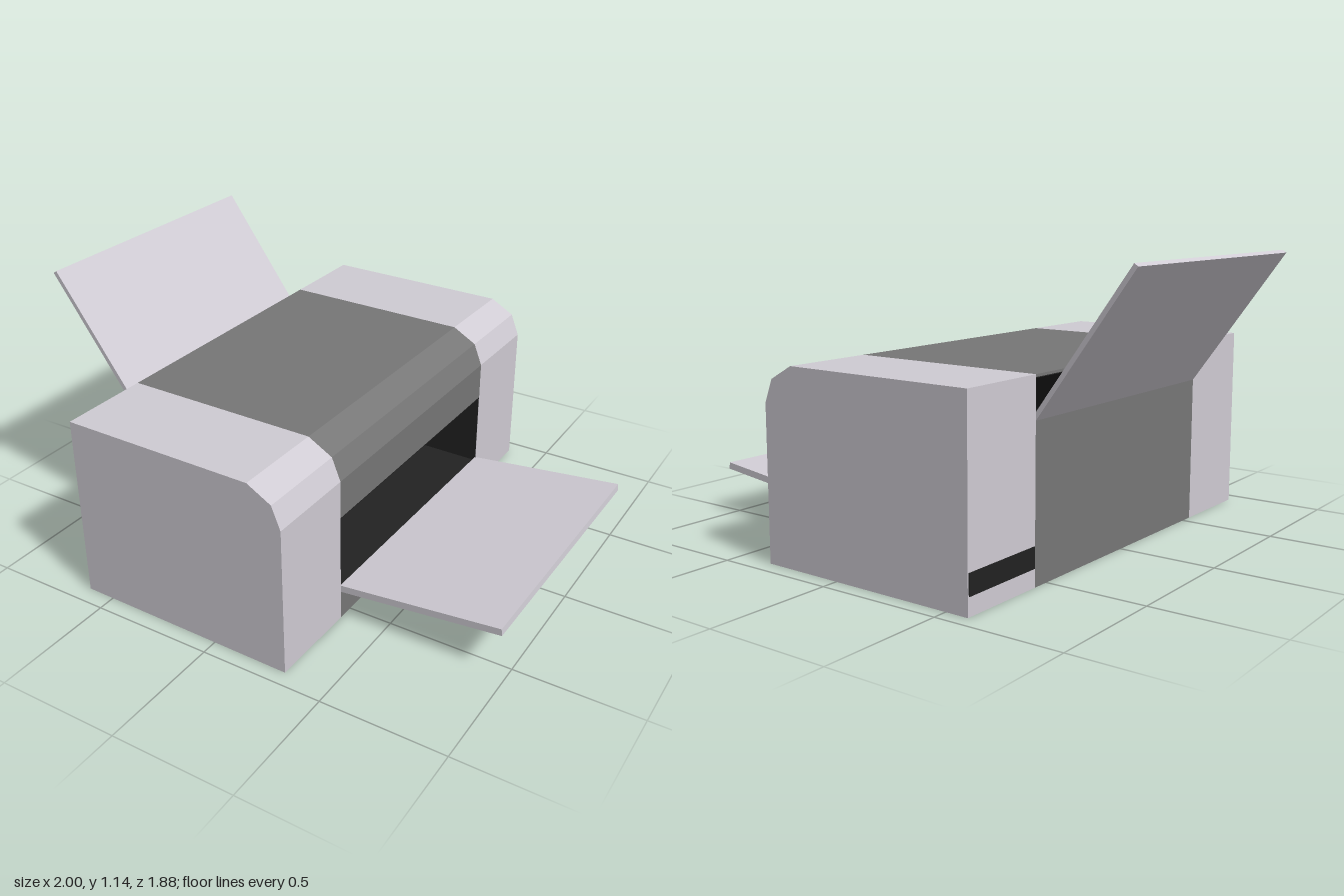
import * as THREE from 'three';

const END = 0.935;    // half length of the body
const MID = 0.5625;   // half length of the middle section

const paint = (color) => new THREE.MeshStandardMaterial({ color, flatShading: true, side: THREE.DoubleSide });

const toShape = (pts) => new THREE.Shape(pts.map(([x, y]) => new THREE.Vector2(x, y)));

// Side profile in x/y, swept along z from z0 to z1
function sweep(name, pts, z0, z1, material) {
  const g = new THREE.ExtrudeGeometry(toShape(pts), { depth: z1 - z0, bevelEnabled: false });
  g.translate(0, 0, z0);
  const m = new THREE.Mesh(g, material);
  m.name = name;
  return m;
}

// Flat board between two profile points, thickened to one side
function board(name, [x0, y0], [x1, y1], t, half, material) {
  const l = Math.hypot(x1 - x0, y1 - y0);
  const nx = -(y1 - y0) / l * t, ny = (x1 - x0) / l * t;
  return sweep(name, [[x0, y0], [x1, y1], [x1 + nx, y1 + ny], [x0 + nx, y0 + ny]], -half, half, material);
}

export function createModel() {
  const model = new THREE.Group();
  model.name = 'printer';
  const light = paint(0xd0ccd4), grey = paint(0x777777), dark = paint(0x222222);

  // Rounded front edge of the housing, bottom to top
  const nose = [[0.328, 0.605], [0.292, 0.695], [0.193, 0.75]];

  // Light end housings
  const outline = [[-0.605, 0], [0.328, 0], ...nose, [-0.605, 0.75]];
  model.add(sweep('leftHousing', outline, MID, END, light));
  model.add(sweep('rightHousing', outline, -END, -MID, light));

  // Middle section: base and lid with the paper path between them
  const floor = [[0.328, 0.13], [-0.1, 0.13], [-0.605, 0.59]];
  const roof = [[-0.605, 0.74], [-0.02, 0.45], [0.328, 0.45]];
  model.add(sweep('base', [[-0.605, 0], [0.328, 0], ...floor], -MID, MID, grey));
  model.add(sweep('lid', [...roof, ...nose, [-0.605, 0.75]], -MID, MID, grey));

  // Dark lining of the paper path
  const e = 0.003;
  const lining = new THREE.Group();
  lining.name = 'paperPathLining';
  for (const path of [floor, roof]) {
    for (let i = 0; i < 2; i++) {
      lining.add(board('liningPanel', path[i], path[i + 1], -e, MID, dark));
    }
  }
  for (const s of [-1, 1]) {
    const side = new THREE.Mesh(new THREE.ShapeGeometry(toShape([...floor, ...roof])), dark);
    side.position.z = s * (MID - e);
    side.name = 'liningSide';
    lining.add(side);
  }
  model.add(lining);

  // Output tray at the front opening, paper support rising behind
  model.add(board('outputTray', [0.328, 0.12], [0.99, 0.195], 0.028, MID, light));
  model.add(board('paperSupport', [-0.992, 1.125], [-0.605, 0.59], 0.018, MID, light));

  // Connector panel low on the back of the right housing
  const port = new THREE.Mesh(new THREE.BoxGeometry(0.006, 0.08, END - MID - 0.01), dark);
  port.position.set(-0.605, 0.11, -(END + MID) / 2);
  port.name = 'connectorPanel';
  model.add(port);

  // The whole machine stands slightly turned
  model.rotation.y = -0.0125;
  const root = new THREE.Group();
  root.add(model);
  return root;
}
